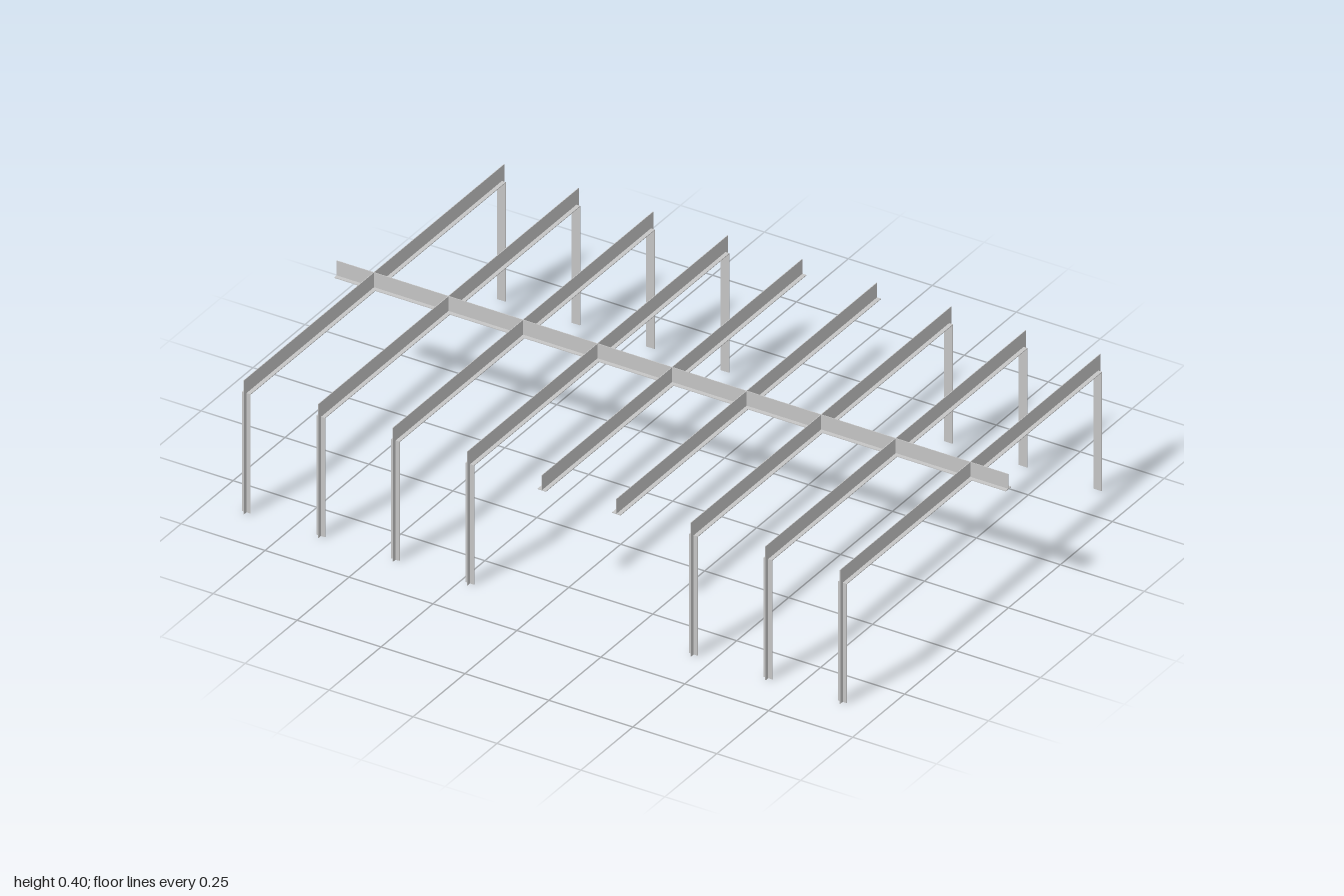
import * as THREE from 'three';

// Portal outline between an outer and an inner [halfSpan, top], extruded across x
function portal([oz, oy], [iz, iy], thickness) {
  const shape = new THREE.Shape([
    [-oz, 0], [-iz, 0], [-iz, iy], [iz, iy], [iz, 0], [oz, 0], [oz, oy], [-oz, oy],
  ].map(([z, y]) => new THREE.Vector2(z, y)));
  return new THREE.ExtrudeGeometry(shape, { depth: thickness, bevelEnabled: false })
    .translate(0, 0, -thickness / 2)
    .rotateY(Math.PI / 2);
}

export function createModel() {
  const model = new THREE.Group();
  model.name = 'steelFrame';
  const steel = new THREE.MeshStandardMaterial({ color: 0xc4c4c4 });
  steel.name = 'light grey steel';

  const top = 0.395, bottom = 0.35, width = 0.025, plate = 0.002;
  const halfSpan = 0.627, innerSpan = 0.613;

  const add = (parent, name, geo, y = 0) => {
    const mesh = new THREE.Mesh(geo, steel);
    mesh.name = name;
    mesh.position.y = y;
    parent.add(mesh);
  };

  // Straight T-section beam: upright web on a flat bottom flange
  const straightBeam = (name, length, turn) => {
    const beam = new THREE.Group();
    beam.name = name;
    beam.rotation.y = turn;
    add(beam, 'web', new THREE.BoxGeometry(plate, top - bottom - plate, length), (top + bottom + plate) / 2);
    add(beam, 'flange', new THREE.BoxGeometry(width, plate, length), bottom + plate / 2);
    model.add(beam);
    return beam;
  };

  // Long central beam running left to right
  straightBeam('spineBeam', 2, Math.PI / 2);

  // Nine cross frames; the two in the middle have no posts
  const webGeo = portal([halfSpan, top], [innerSpan + plate / 2, bottom + plate / 2], plate);
  const flangeGeo = portal([innerSpan + plate, bottom + plate], [innerSpan, bottom], width);
  for (let i = 0; i < 9; i++) {
    const x = (i - 4) * 0.222 - 0.002;
    if (i === 4 || i === 5) {
      straightBeam('crossBeam' + (i + 1), halfSpan * 2, 0).position.x = x;
      continue;
    }
    const frame = new THREE.Group();
    frame.name = 'postFrame' + (i + 1);
    frame.position.x = x;
    add(frame, 'web', webGeo);
    add(frame, 'flange', flangeGeo);
    model.add(frame);
  }
  return model;
}
